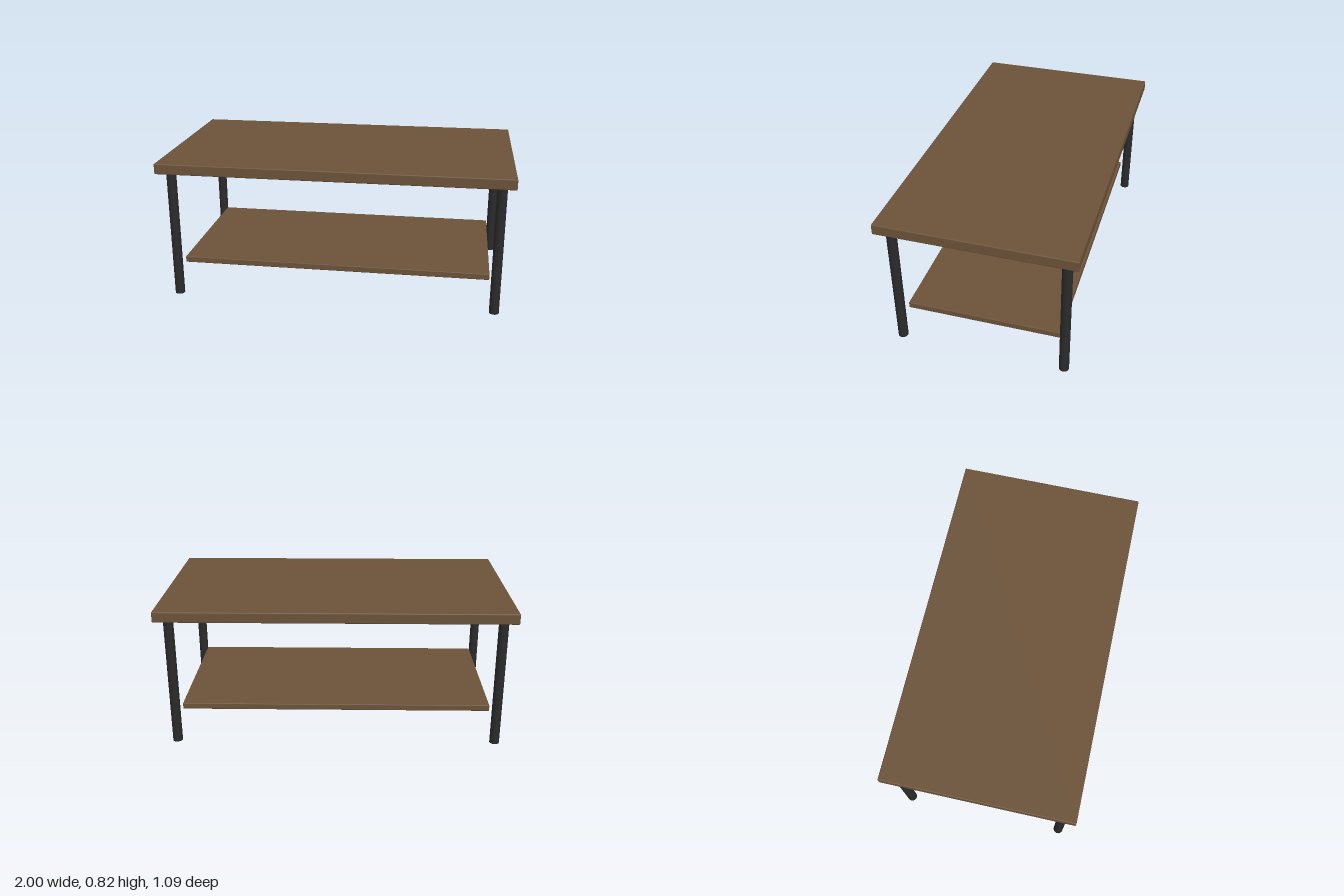
import * as THREE from 'three';
import { RoundedBoxGeometry } from 'three/addons/geometries/RoundedBoxGeometry.js';

export function createModel() {
  const wood = new THREE.MeshStandardMaterial({ color: 0x6b5239 });
  wood.name = 'brown wood';
  const metal = new THREE.MeshStandardMaterial({ color: 0x2a2a2b });
  metal.name = 'black metal';

  const table = new THREE.Group();
  table.name = 'coffeeTable';

  // Board with slightly eased edges, spanning bottom to top
  function addBoard(name, width, depth, bottom, top, radius) {
    const geometry = new RoundedBoxGeometry(width, top - bottom, depth, 2, radius);
    const board = new THREE.Mesh(geometry, wood);
    board.name = name;
    board.position.y = (bottom + top) / 2;
    table.add(board);
  }
  addBoard('tableTop', 2, 1.09, 0.757, 0.818, 0.006);
  addBoard('lowerShelf', 1.782, 0.873, 0.182, 0.218, 0.004);

  // Four round legs, one near each corner
  const legHeight = 0.757;
  const legGeometry = new THREE.CylinderGeometry(0.028, 0.028, legHeight, 24);
  for (const [end, x] of [['Left', 0.927], ['Right', -0.927]]) {
    for (const [side, z] of [['front', 0.473], ['back', -0.473]]) {
      const leg = new THREE.Mesh(legGeometry, metal);
      leg.name = `${side}${end}Leg`;
      leg.position.set(x, legHeight / 2, z);
      table.add(leg);
    }
  }
  return table;
}
